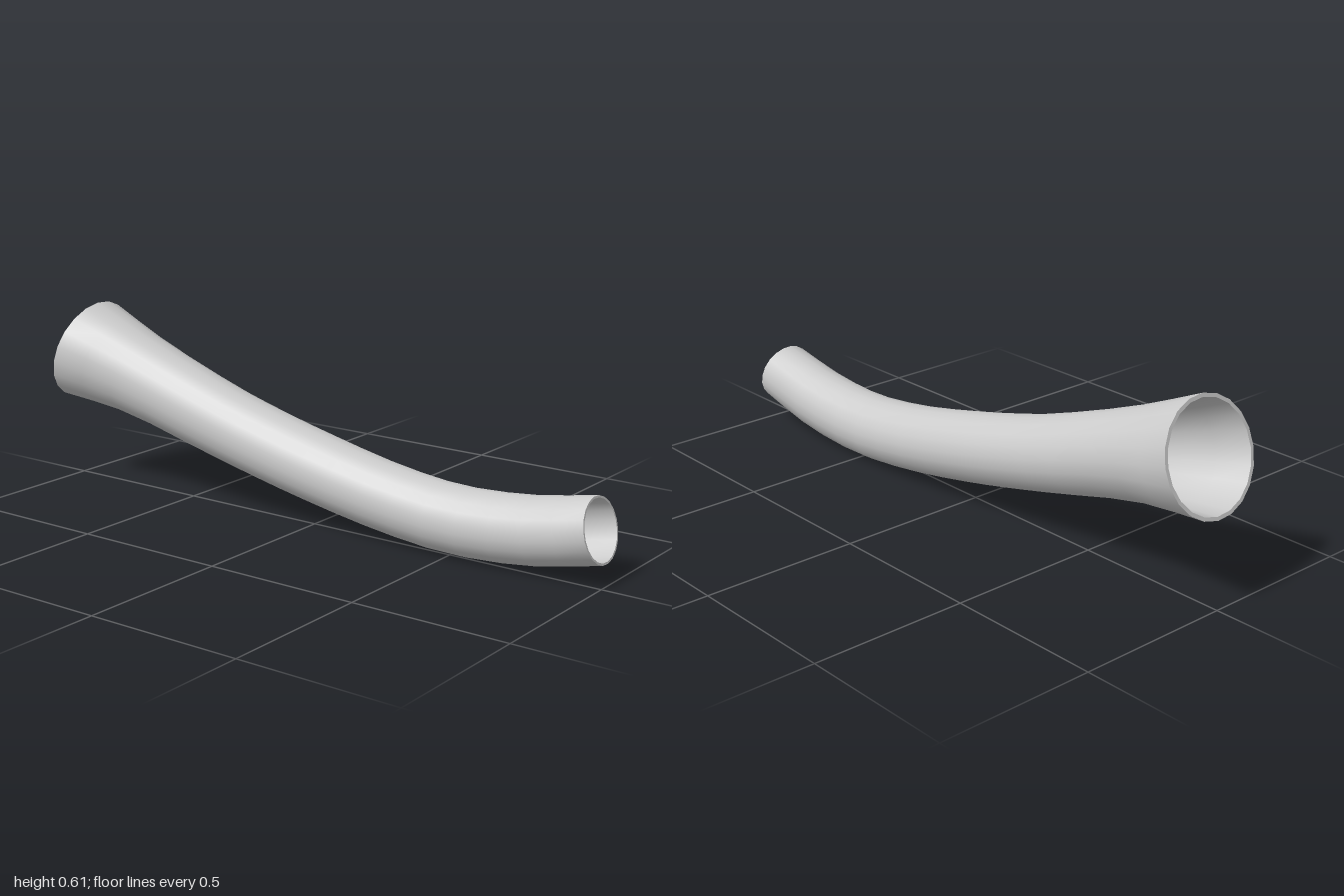
import * as THREE from 'three';

const SIDES = 20, RINGS = 18, WALL = 0.065, TURN = -0.09;

// Stations from the narrow front mouth to the flared back: x, y, z, radius, slope dy/dz
const stations = [
  [0.028, 0.166, 0.977, 0.099, 0.235],
  [0.028, 0.122, 0.75, 0.103, 0.12],
  [0.026, 0.108, 0.5, 0.105, -0.04],
  [0.023, 0.135, 0.25, 0.107, -0.15],
  [0.019, 0.184, 0, 0.111, -0.22],
  [0.015, 0.231, -0.2, 0.114, -0.255],
  [0.011, 0.285, -0.4, 0.119, -0.285],
  [0.005, 0.378, -0.7, 0.135, -0.31],
  [0, 0.445, -0.947, 0.174, -0.318],
];
const spline = (f) => new THREE.CatmullRomCurve3(
  stations.map((s) => new THREE.Vector3(...f(s))), false, 'catmullrom');
const centre = spline((s) => s.slice(0, 3));
const section = spline((s) => [s[3], s[4], 0]);

// Circle of points square to the path at u
function ring(u, scale) {
  const c = centre.getPoint(u), s = section.getPoint(u);
  const up = new THREE.Vector3(0, 1, -s.y).normalize();
  return Array.from({ length: SIDES }, (_, j) => {
    const a = TURN + (j / SIDES) * Math.PI * 2, r = s.x * scale;
    const p = c.clone().addScaledVector(up, r * Math.cos(a));
    p.x += r * Math.sin(a);
    return p;
  });
}

// Closed band through successive rings
function band(name, rings, material) {
  const index = [];
  for (let i = 0; i < rings.length - 1; i++) {
    for (let j = 0; j < SIDES; j++) {
      const k = (j + 1) % SIDES;
      const a = i * SIDES + j, b = i * SIDES + k;
      index.push(a, b, a + SIDES, b, b + SIDES, a + SIDES);
    }
  }
  const geometry = new THREE.BufferGeometry().setFromPoints(rings.flat());
  geometry.setIndex(index);
  geometry.computeVertexNormals();
  const mesh = new THREE.Mesh(geometry, material);
  mesh.name = name;
  return mesh;
}

export function createModel() {
  const group = new THREE.Group();
  group.name = 'curvedFlaredTube';
  const material = new THREE.MeshStandardMaterial({ color: 0xcccccc });

  const us = Array.from({ length: RINGS + 1 }, (_, i) => i / RINGS);
  const outer = us.map((u) => ring(u, 1));
  const inner = us.map((u) => ring(u, 1 - WALL));

  group.add(
    band('outerWall', outer, material),
    band('innerWall', [...inner].reverse(), material),
    band('frontRim', [inner[0], outer[0]], material),
    band('backRim', [outer[RINGS], inner[RINGS]], material),
  );
  return group;
}
